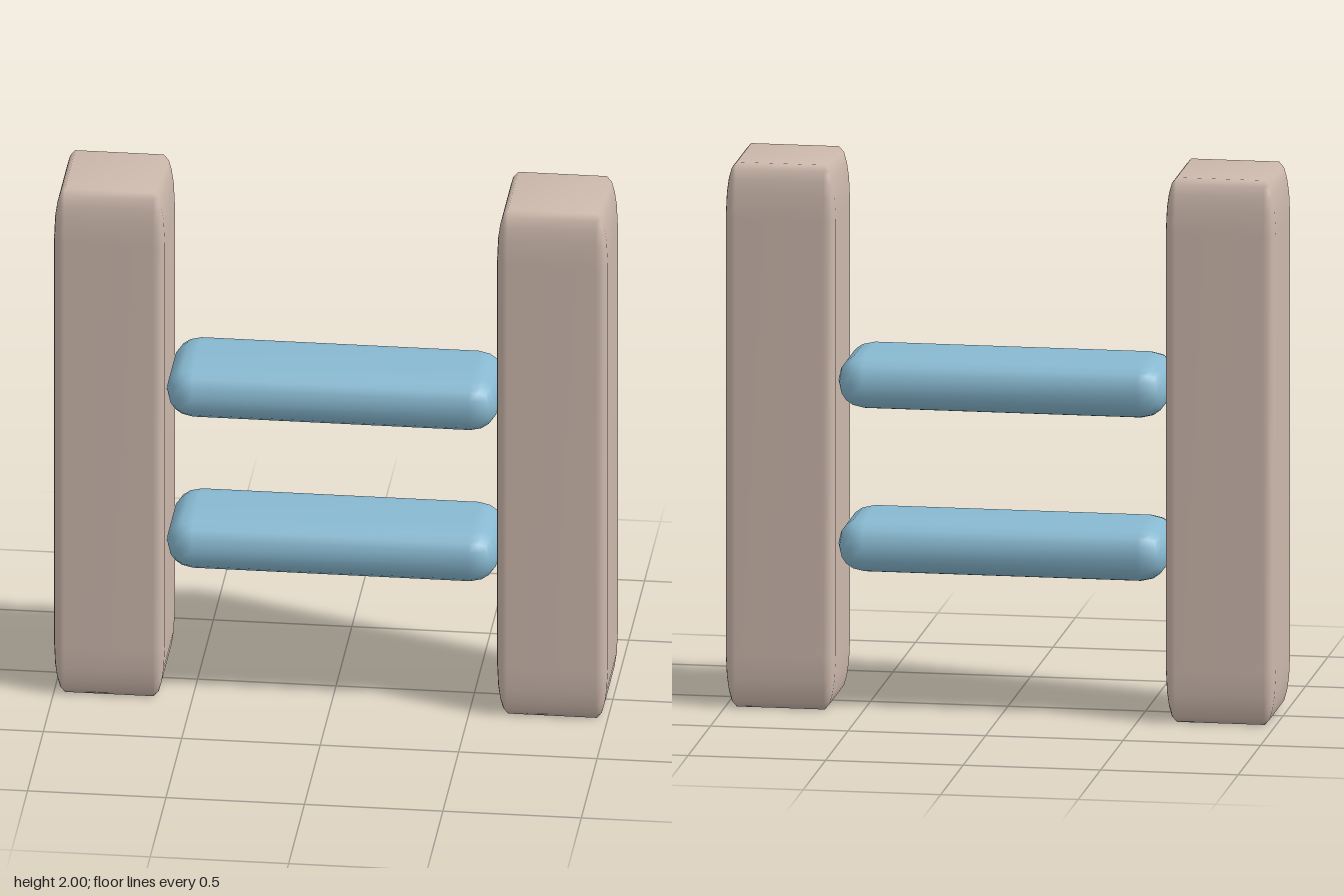
import * as THREE from 'three';
import { mergeVertices } from 'three/addons/utils/BufferGeometryUtils.js';
import { RoundedBoxGeometry } from 'three/addons/geometries/RoundedBoxGeometry.js';

// Rounded block, stretched vertically, with normals smoothed over all faces
function smoothBlock(w, h, d, radius, stretchY = 1) {
  let g = new RoundedBoxGeometry(w, h / stretchY, d, 2, radius);
  g.deleteAttribute('normal');
  g.deleteAttribute('uv');
  g.clearGroups();
  g.scale(1, stretchY, 1);
  g = mergeVertices(g, 1e-4);
  g.computeVertexNormals();
  return g;
}

export function createModel() {
  const group = new THREE.Group();
  group.name = 'ladderFrame';

  const postColor = new THREE.MeshStandardMaterial({ color: 0xcdb9ad });
  postColor.name = 'warm beige';
  const rungColor = new THREE.MeshStandardMaterial({ color: 0x88b9d1 });
  rungColor.name = 'soft blue';

  // Two upright posts; the stretched rounding tapers their ends
  const postGeometry = smoothBlock(0.4, 2, 0.4, 0.04, 5);
  for (const [name, x] of [['leftPost', 0.8], ['rightPost', -0.8]]) {
    const post = new THREE.Mesh(postGeometry, postColor);
    post.name = name;
    post.position.set(x, 1, 0);
    group.add(post);
  }

  // Two pill-shaped rungs between the posts
  const rungGeometry = smoothBlock(1.2, 0.2, 0.4, 0.1);
  for (const [name, y] of [['lowerRung', 0.6], ['upperRung', 1.2]]) {
    const rung = new THREE.Mesh(rungGeometry, rungColor);
    rung.name = name;
    rung.position.y = y;
    group.add(rung);
  }

  return group;
}
